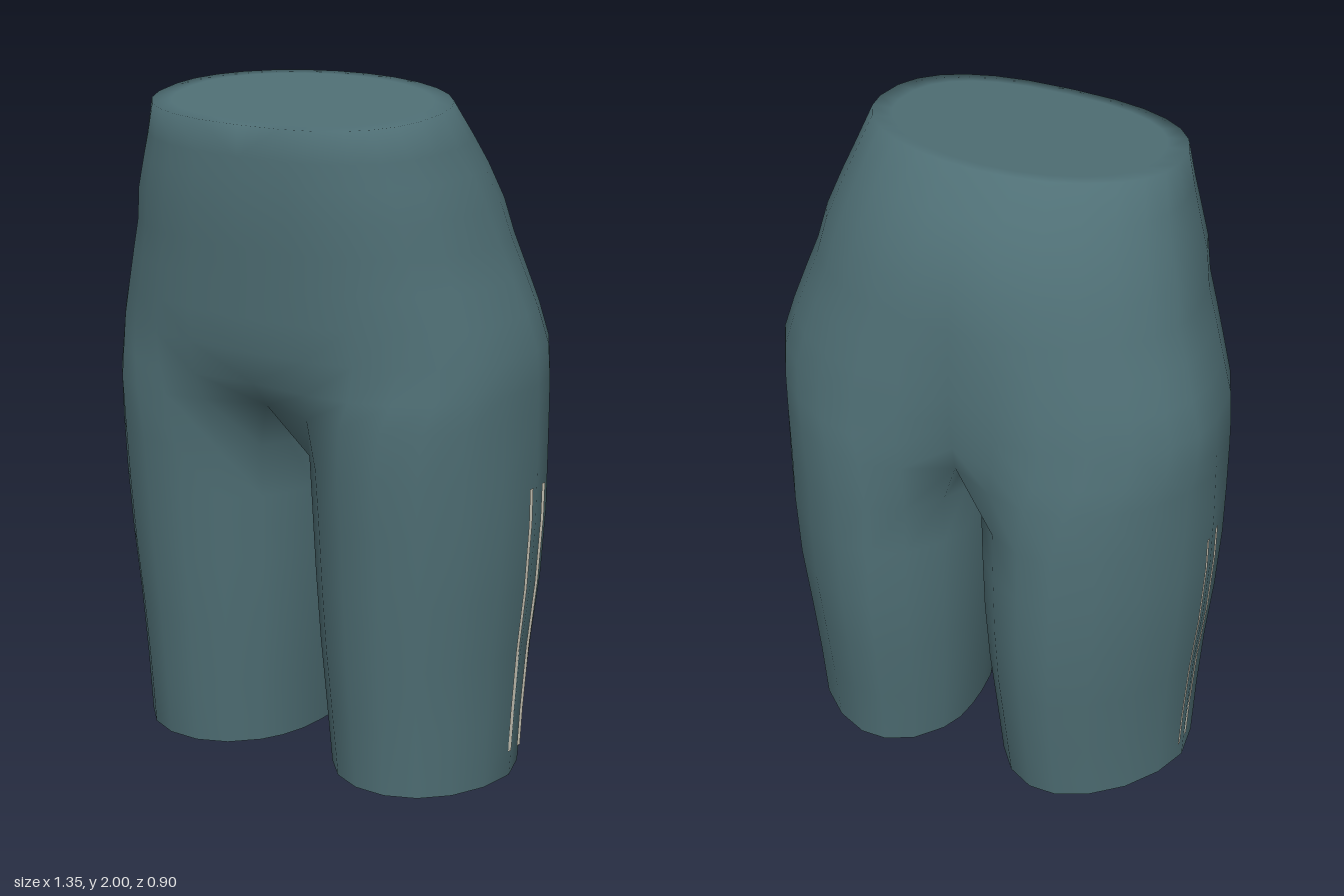
import * as THREE from 'three';
import { mergeGeometries, mergeVertices } from 'three/addons/utils/BufferGeometryUtils.js';

const M = 14; // segments round the outside of one half
const K = 6;  // segments round the inner thigh
const CROTCH = 6; // index of the row where the legs join

// y, inner x, outer x, front z, back z, centre z, leg-to-torso blend, cleft depth, tilt
const ROWS = [
  [0, 0.07, 0.615, 0.30, -0.37, -0.035, 0, 0, 0],
  [0.2, 0.053, 0.625, 0.318, -0.397, -0.04, 0, 0, 0],
  [0.4, 0.035, 0.64, 0.337, -0.427, -0.045, 0, 0, 0],
  [0.6, 0.022, 0.662, 0.355, -0.447, -0.05, 0, 0, 0],
  [0.8, 0.014, 0.675, 0.37, -0.452, -0.05, 0, 0, 0],
  [0.96, 0.01, 0.677, 0.385, -0.45, -0.05, 0, 0, 0],
  [1.12, 0, 0.675, 0.42, -0.465, -0.05, 0.4, 0.07, 0],
  [1.2, 0, 0.674, 0.425, -0.465, -0.05, 0.78, 0.09, 0],
  [1.3, 0, 0.668, 0.427, -0.455, -0.05, 1, 0.08, 0],
  [1.4, 0, 0.638, 0.434, -0.438, -0.04, 1, 0.06, 0],
  [1.5, 0, 0.605, 0.44, -0.412, -0.02, 1, 0.035, 0],
  [1.6, 0, 0.57, 0.447, -0.39, 0, 1, 0.015, 0],
  [1.7, 0, 0.55, 0.453, -0.363, 0.03, 1, 0.006, -0.01],
  [1.8, 0, 0.515, 0.453, -0.32, 0.06, 1, 0, -0.03],
  [1.88, 0, 0.487, 0.45, -0.265, 0.09, 1, 0, -0.06],
  [1.983, 0, 0.455, 0.445, -0.18, 0.13, 1, 0, -0.095],
];

const lerp = THREE.MathUtils.lerp;
const rad = THREE.MathUtils.degToRad;
const soft = (v, n) => Math.sign(v) * Math.abs(v) ** (2 / n);

// Rounded cross-section point, angle 0 at the front turning outward;
// the back is flatter at the corners and can lean inward
function oval(cx, rx, zf, zb, zc, a, nFront, nBack, lean) {
  const n = Math.cos(a) > 0 ? nFront : nBack;
  const c = soft(Math.cos(a), n);
  const x = cx + rx * soft(Math.sin(a), n) + lean * Math.min(c, 0);
  return [x, zc + c * (c > 0 ? zf - zc : zc - zb)];
}

// One half row: outer points from front centre to back centre, then inner thigh points
function ring(row, r) {
  const [y, inner, outer, zf, zb, zc, blend, cleft, tilt] = row;
  const leg = (deg) => {
    const p = oval((inner + outer) / 2, (outer - inner) / 2, zf, zb, zc, rad(deg), 2.05, 1.85, 0.055);
    return [Math.max(p[0], inner), p[1]];
  };
  const pts = [];
  for (let j = 0; j <= M; j++) {
    const t = j / M;
    const l = leg(-50 + 280 * t);
    const b = oval(0, outer, zf, zb, zc, Math.PI * t, 2.5, 2, 0);
    if (t > 0.5) b[1] += cleft * Math.exp(-((b[0] / 0.16) ** 2));
    const x = r >= CROTCH && (j === 0 || j === M) ? 0 : lerp(l[0], b[0], blend);
    const z = lerp(l[1], b[1], blend);
    pts.push([x, y + tilt * z, z]);
  }
  if (r > CROTCH) return pts;
  for (let k = 1; k < K; k++) {
    const t = k / K;
    const l = leg(230 + 80 * t);
    if (r < CROTCH) pts.push([l[0], y, l[1]]);
    else pts.push([0, y - 0.05 * Math.sin(Math.PI * t), lerp(pts[M][2], pts[0][2], t)]);
  }
  return pts;
}

// Half of the garment: open leg, hip and closed waist; side is 1 or -1
function half(side) {
  const rings = ROWS.map(ring);
  const rim = rings[rings.length - 1];
  for (const s of [0.87, 0]) {
    rings.push(rim.map(([x, , z]) => {
      const cz = lerp(0.13, z, s);
      return [x * s, 1.983 - 0.095 * cz, cz];
    }));
  }
  const pos = [], idx = [], start = [];
  for (const pts of rings) {
    start.push(pos.length / 3);
    for (const [x, y, z] of pts) pos.push(x * side, y, z);
  }
  for (let r = 0; r < rings.length - 1; r++) {
    const count = r < CROTCH ? M + K : M;
    const wrap = (j) => (r < CROTCH ? j % (M + K) : j);
    for (let j = 0; j < count; j++) {
      const a = start[r] + j, b = start[r] + wrap(j + 1);
      const c = start[r + 1] + wrap(j + 1), d = start[r + 1] + j;
      if (side > 0) idx.push(a, b, c, a, c, d);
      else idx.push(a, c, b, a, d, c);
    }
  }
  const g = new THREE.BufferGeometry();
  g.setAttribute('position', new THREE.Float32BufferAttribute(pos, 3));
  g.setIndex(idx);
  return g;
}

// Thin ribbon lying on the outside of the leg
function stripe(side, zTop, zBottom) {
  const pos = [], idx = [];
  const ys = [0.08, 0.2, 0.4, 0.6, 0.8, 0.905];
  ys.forEach((y, i) => {
    const r = ROWS.findIndex((row) => row[0] > y);
    const t = (y - ROWS[r - 1][0]) / (ROWS[r][0] - ROWS[r - 1][0]);
    const x = lerp(ROWS[r - 1][2], ROWS[r][2], t) + 0.001;
    const z = lerp(zBottom, zTop, (y - 0.08) / 0.825);
    pos.push(x * side, y, z + 0.0085, x * side, y, z - 0.0085);
    if (i === 0) return;
    const a = 2 * i - 2;
    if (side > 0) idx.push(a, a + 1, a + 3, a, a + 3, a + 2);
    else idx.push(a, a + 3, a + 1, a, a + 2, a + 3);
  });
  const g = new THREE.BufferGeometry();
  g.setAttribute('position', new THREE.Float32BufferAttribute(pos, 3));
  g.setIndex(idx);
  g.computeVertexNormals();
  return g;
}

export function createModel() {
  const group = new THREE.Group();
  group.name = 'shorts';
  const fabric = new THREE.MeshStandardMaterial({ color: 0x4f6f75, side: THREE.DoubleSide });
  fabric.name = 'teal fabric';
  const trim = new THREE.MeshStandardMaterial({ color: 0xdcd8c8, side: THREE.DoubleSide });
  trim.name = 'cream trim';

  // Both halves welded along the middle for smooth shading
  const body = mergeVertices(mergeGeometries([half(1), half(-1)]), 1e-4);
  body.computeVertexNormals();
  const shorts = new THREE.Mesh(body, fabric);
  shorts.name = 'shortsBody';
  group.add(shorts);

  // Two narrow stripes on each outer leg
  for (const side of [1, -1]) {
    for (const [name, top, bottom] of [['FrontStripe', -0.02, -0.028], ['BackStripe', -0.086, -0.078]]) {
      const mesh = new THREE.Mesh(stripe(side, top, bottom), trim);
      mesh.name = (side > 0 ? 'left' : 'right') + name;
      group.add(mesh);
    }
  }
  return group;
}
